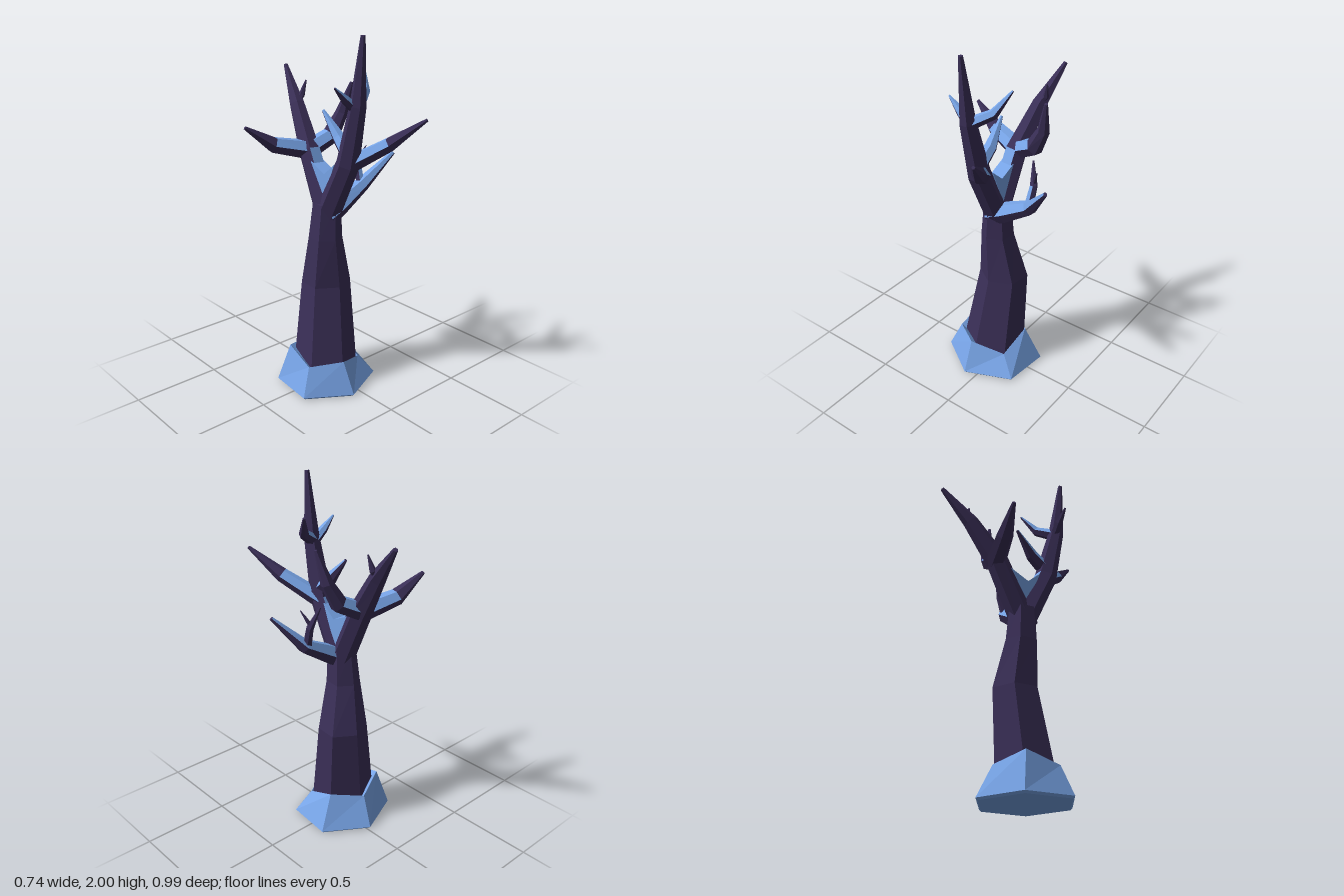
import * as THREE from 'three';

const bark = new THREE.MeshStandardMaterial({ color: 0x3a2f57 });
bark.name = 'dark purple bark';
const snow = new THREE.MeshStandardMaterial({ color: 0x78a5e8 });
snow.name = 'blue snow';
const V = (x, y, z) => new THREE.Vector3(x, y, z);

// Faceted, capped skin over closed rings; isSnow(segment, tilt) picks the colour of each side face
function skin(name, rings, isSnow, capKind = 0) {
  const faces = [[], []];
  const n = rings[0].length;
  const face = (kind, ...corners) => corners.forEach(p => faces[kind].push(p.x, p.y, p.z));
  for (let i = 0; i < rings.length - 1; i++) {
    for (let j = 0; j < n; j++) {
      const k = (j + 1) % n;
      const a = rings[i][j], b = rings[i][k], c = rings[i + 1][k], d = rings[i + 1][j];
      const normal = c.clone().sub(a).cross(d.clone().sub(b)).normalize();
      const kind = isSnow(i, normal.y) ? 1 : 0;
      face(kind, a, b, c, a, c, d);
    }
  }
  const first = rings[0], last = rings[rings.length - 1];
  for (let j = 1; j < n - 1; j++) {
    face(capKind, first[0], first[j + 1], first[j], last[0], last[j], last[j + 1]);
  }
  const geo = new THREE.BufferGeometry();
  geo.setAttribute('position', new THREE.Float32BufferAttribute(faces.flat(), 3));
  geo.addGroup(0, faces[0].length / 3, 0);
  geo.addGroup(faces[0].length / 3, faces[1].length / 3, 1);
  geo.computeVertexNormals();
  const mesh = new THREE.Mesh(geo, [bark, snow]);
  mesh.name = name;
  return mesh;
}

// Level six-sided ring; height is given per corner
function hexRing(height, cx, cz, rx, rz) {
  return Array.from({ length: 6 }, (_, k) => {
    const a = k * Math.PI / 3 - 0.09;
    return V(cx + rx * Math.sin(a), height(k), cz + rz * Math.cos(a));
  });
}

// Six-sided limb tapering along a path, with snow on top of its first segments
function limb(name, radius, snowySegments, ...path) {
  const pts = path.map(p => V(...p));
  const end = pts.length - 1;
  let u = V(0, 1, 0);
  const rings = pts.map((p, i) => {
    const t = V(0, 0, 0);
    if (i > 0) t.add(p.clone().sub(pts[i - 1]).normalize());
    if (i < end) t.add(pts[i + 1].clone().sub(p).normalize());
    t.normalize();
    u = u.clone().addScaledVector(t, -u.dot(t)).normalize();
    const v = t.clone().cross(u);
    const r = radius * (1 - 0.82 * (i / end) ** 2);
    return Array.from({ length: 6 }, (_, k) => {
      const a = (k + 0.5) * Math.PI / 3;
      return p.clone().addScaledVector(u, Math.cos(a) * r).addScaledVector(v, Math.sin(a) * r);
    });
  });
  return skin(name, rings, (i, tilt) => i < snowySegments && tilt > 0.25);
}

export function createModel() {
  const tree = new THREE.Group();
  tree.name = 'bareTree';

  // Trunk: leaning hexagonal sections
  const trunkRing = (y, ...rest) => hexRing(() => y, ...rest);
  tree.add(skin('trunk', [
    trunkRing(0.04, -0.05, 0, 0.19, 0.18),
    trunkRing(0.15, -0.043, -0.003, 0.182, 0.17),
    trunkRing(0.6, -0.005, -0.04, 0.142, 0.132),
    trunkRing(0.88, -0.03, -0.015, 0.092, 0.096),
    trunkRing(1.08, -0.025, -0.008, 0.075, 0.08),
  ], () => false));

  // Snow drift around the foot, with an uneven rim
  const rim = [0.19, 0.13, 0.21, 0.18, 0.23, 0.17];
  tree.add(skin('snowDrift', [
    hexRing(() => 0, -0.04, 0, 0.277, 0.258),
    hexRing(() => 0.012, -0.04, 0, 0.29, 0.27),
    hexRing(k => rim[k], -0.055, 0, 0.2, 0.19),
    hexRing(k => rim[k] - 0.04, -0.045, 0, 0.16, 0.15),
  ], () => true, 1));

  // Snow wedge lodged in the fork, extruded across x
  const wedge = new THREE.Shape();
  wedge.moveTo(0, 1.09).lineTo(0.05, 1.12).lineTo(0.1, 1.3).lineTo(-0.01, 1.25).lineTo(-0.09, 1.32);
  const forkSnow = new THREE.Mesh(new THREE.ExtrudeGeometry(wedge, { depth: 0.08, bevelEnabled: false }), snow);
  forkSnow.rotation.y = Math.PI / 2;
  forkSnow.position.x = -0.06;
  forkSnow.name = 'forkSnow';
  tree.add(forkSnow);

  // Front limb with its branches and twigs
  tree.add(
    limb('frontLimb', 0.07, 1, [-0.025, 1.02, 0], [-0.02, 1.33, 0.155], [-0.025, 1.65, 0.232], [-0.03, 2, 0.268]),
    limb('frontLowBranch', 0.05, 1, [-0.01, 1.32, 0.15], [0.115, 1.445, 0.325], [0.212, 1.585, 0.487]),
    limb('frontInnerBranch', 0.045, 2, [-0.02, 1.37, 0.17], [-0.01, 1.455, 0.07], [-0.022, 1.585, -0.04]),
    limb('frontRightTwig', 0.03, 2, [-0.02, 1.62, 0.22], [-0.09, 1.685, 0.21], [-0.16, 1.75, 0.208]),
    limb('frontLeftTwig', 0.035, 2, [-0.02, 1.64, 0.225], [0.085, 1.7, 0.165], [0.145, 1.81, 0.092]),
  );

  // Back limb with its branches and twig
  tree.add(
    limb('backLimb', 0.07, 1, [-0.025, 1.02, -0.01], [-0.015, 1.34, -0.165], [0.025, 1.57, -0.32], [0.077, 1.765, -0.483]),
    limb('backRightBranch', 0.058, 1, [0, 1.34, -0.17], [-0.21, 1.39, -0.235], [-0.365, 1.5, -0.275]),
    limb('backLeftBranch', 0.055, 1, [-0.02, 1.34, -0.175], [0.12, 1.41, -0.14], [0.185, 1.53, -0.125], [0.222, 1.7, -0.085]),
    limb('backTwig', 0.022, 0, [0.02, 1.57, -0.325], [0.062, 1.62, -0.322], [0.08, 1.7, -0.305]),
  );

  // Left limb with its twigs
  tree.add(
    limb('leftLimb', 0.065, 3, [-0.05, 1.01, 0.01], [0.04, 1.05, 0.015], [0.21, 1.145, 0.025], [0.362, 1.32, 0.11]),
    limb('leftTwig', 0.027, 1, [0.2, 1.14, 0.02], [0.207, 1.26, -0.015], [0.172, 1.38, -0.058]),
    limb('leftSmallTwig', 0.012, 0, [0.205, 1.27, -0.02], [0.222, 1.31, -0.005], [0.245, 1.36, 0.015]),
  );
  return tree;
}
